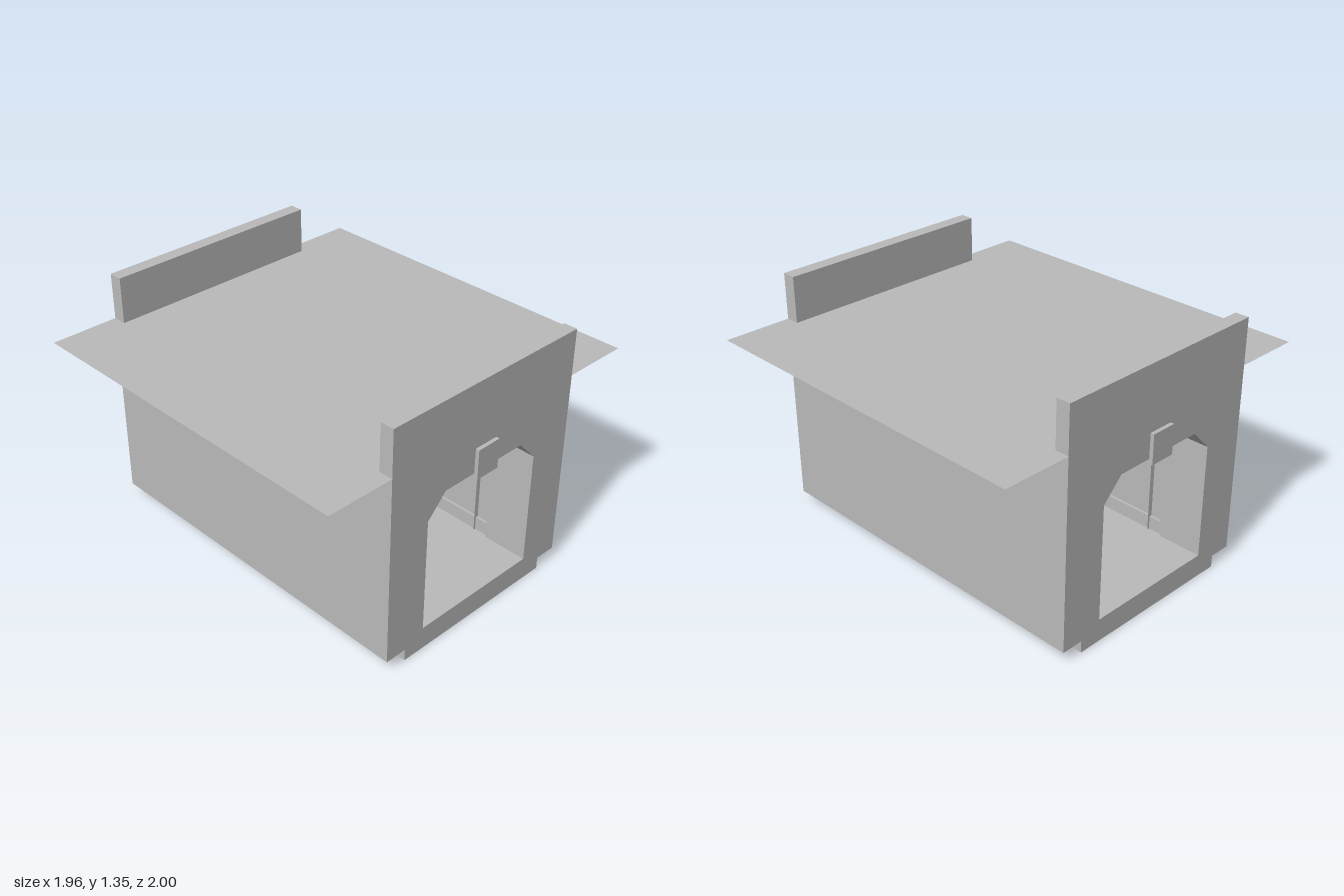
import * as THREE from 'three';

const HALF = 0.98;       // half length of the tunnel
const PORTAL = 0.25;     // depth of the portal jambs

export function createModel() {
  const group = new THREE.Group();
  const concrete = new THREE.MeshStandardMaterial({ color: 0xbababa });
  concrete.name = 'concrete';
  const sheet = new THREE.MeshStandardMaterial({ color: 0xbababa, side: THREE.DoubleSide });
  sheet.name = 'concrete sheet';

  const add = (name, geometry, x, y, z, material = concrete) => {
    const mesh = new THREE.Mesh(geometry, material);
    mesh.name = name;
    mesh.position.set(x, y, z);
    group.add(mesh);
    return mesh;
  };
  const box = (name, w, h, d, x, y, z) => add(name, new THREE.BoxGeometry(w, h, d), x, y, z);
  const points = (list) => list.map(([x, y]) => new THREE.Vector2(x, y));

  // Bore outline with chamfered shoulders, enlarged by e on walls and ceiling
  const bore = (e) => points([
    [-0.37 - e, 0.125], [-0.37 - e, 0.75 + e * 0.4], [-0.26 - e * 0.4, 0.865 + e],
    [0.26 + e * 0.4, 0.865 + e], [0.37 + e, 0.75 + e * 0.4], [0.37 + e, 0.125],
  ]);
  // Stepped outer body with the bore cut through it
  const section = (name, z0, z1, e) => {
    const shape = new THREE.Shape(points([
      [-0.49, 0], [0.49, 0], [0.49, 0.065], [0.61, 0.065],
      [0.61, 1.097], [-0.61, 1.097], [-0.61, 0.065], [-0.49, 0.065],
    ]));
    shape.holes.push(new THREE.Path(bore(e)));
    add(name, new THREE.ExtrudeGeometry(shape, { depth: z1 - z0, bevelEnabled: false }), 0, 0, z0);
  };

  const inner = HALF - PORTAL;
  section('tunnelBody', -inner, inner, 0.027);
  section('frontPortal', inner, HALF, 0);
  section('backPortal', -HALF, -inner, 0);

  // Wide flat deck
  const deck = new THREE.PlaneGeometry(1.96, 1.96);
  deck.rotateX(-Math.PI / 2);
  add('deck', deck, 0, 1.1, 0, sheet);

  // Parapets and keystones at both ends
  for (const s of [1, -1]) {
    box('parapet', 1.22, 0.253, 0.075, 0, 1.2235, s * (HALF - 0.0375));
    box('keystone', 0.14, 0.16, 0.02, 0, 0.92, s * (HALF + 0.01));
  }

  // Ribs following walls and ceiling
  for (const z of [-0.6, -0.11, 0.11, 0.6]) {
    const rib = new THREE.Shape(bore(0.027));
    rib.holes.push(new THREE.Path(bore(0)));
    add('rib', new THREE.ExtrudeGeometry(rib, { depth: 0.1, bevelEnabled: false }), 0, 0, z - 0.05);
  }

  // Skirting and wall rails between the portals
  for (const s of [1, -1]) {
    box('skirting', 0.015, 0.075, inner * 2, s * 0.39, 0.1625, 0);
    box('wallRail', 0.015, 0.03, inner * 2, s * 0.39, 0.72, 0);
  }

  // Loose rubble along the wall feet
  for (const [x, y, z, size, turn] of [
    [-0.352, 0.157, 0.64, 0.04, 0], [0.35, 0.15, -0.6, 0.045, 0.25], [0.335, 0.145, -0.68, 0.035, 0.5],
  ]) {
    const stone = box('rubble', size, size, size * 1.3, x, y, z);
    stone.rotation.set(0, turn, turn * 0.5);
  }
  return group;
}
